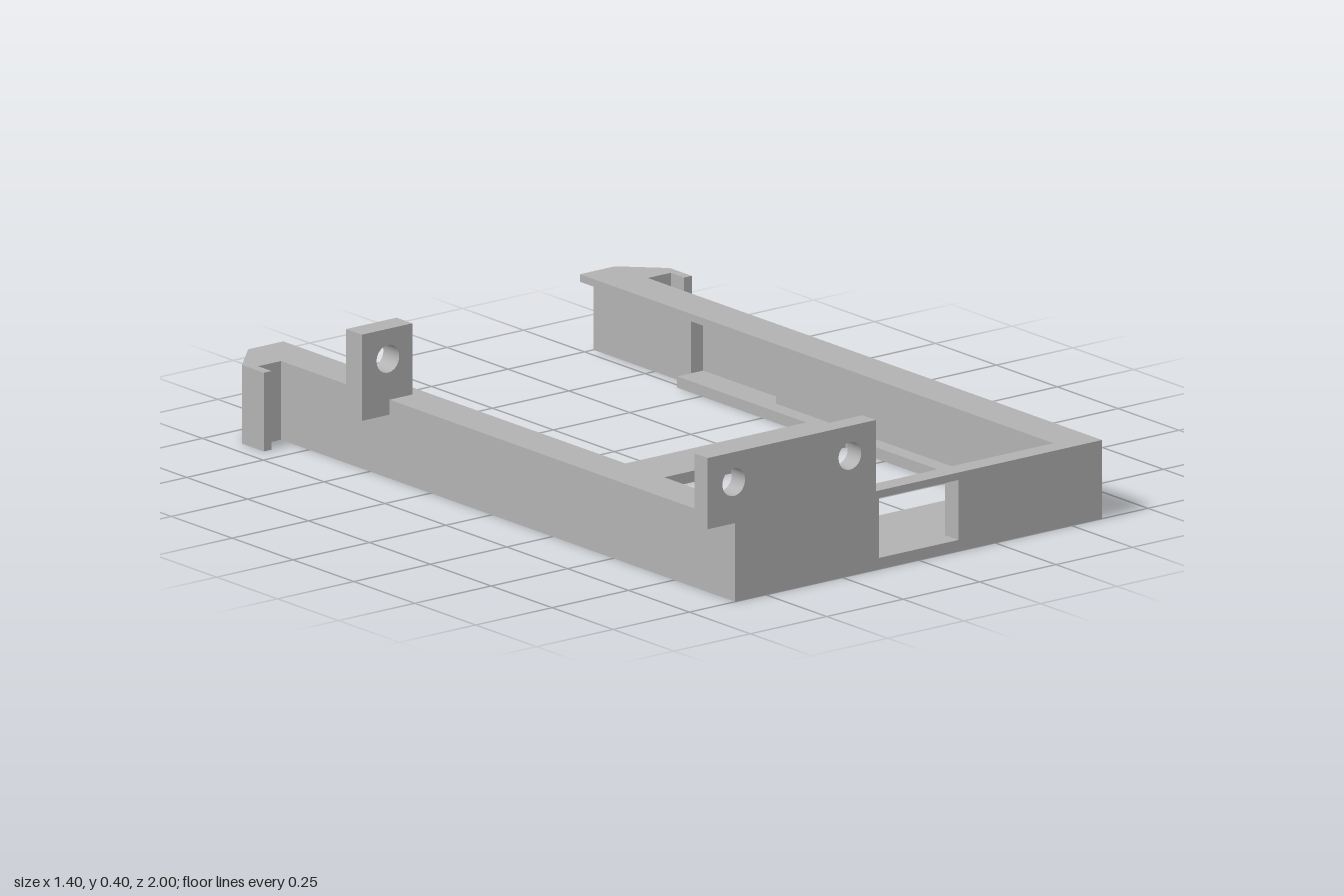
import * as THREE from 'three';

const HEIGHT = 0.21, FLOOR = 0.03, FLANGE = 0.02;
const OUTER = 0.6, FACE = 0.53, RECESS = 0.57, INNER = 0.485;
const FRONT = 0.945; // back face of the front panel

export function createModel() {
  const model = new THREE.Group();
  model.name = 'mountingFrame';
  const grey = new THREE.MeshStandardMaterial({ color: 0xb2b2b2 });
  grey.name = 'grey';

  const add = (name, geometry) => {
    const mesh = new THREE.Mesh(geometry, grey);
    mesh.name = name;
    model.add(mesh);
    return mesh;
  };

  // Box given by its limits on each axis
  const box = (name, x0, x1, y0, y1, z0, z1) => {
    const g = new THREE.BoxGeometry(Math.abs(x1 - x0), y1 - y0, z1 - z0);
    g.translate((x0 + x1) / 2, (y0 + y1) / 2, (z0 + z1) / 2);
    return add(name, g);
  };

  const shapeOf = (points) => new THREE.Shape(points.map(([x, y]) => new THREE.Vector2(x, y)));
  const roundHole = (shape, x, y, r) => {
    const hole = new THREE.Path();
    hole.absarc(x, y, r, 0, Math.PI * 2, true);
    shape.holes.push(hole);
  };
  const extrude = (shape, depth) =>
    new THREE.ExtrudeGeometry(shape, { depth, bevelEnabled: false, curveSegments: 24 });

  // Side rails: a wall with an inner recess and an end hook, plus two flanges
  const rails = [
    { side: 1, label: 'left', recessBack: -0.6, ledgeBack: -0.6 },
    { side: -1, label: 'right', recessBack: -0.85, ledgeBack: -1 },
  ];
  for (const { side, label, recessBack, ledgeBack } of rails) {
    // Plan of the wall as x, z
    const plan = [
      [OUTER, FRONT], [OUTER, -0.865],
      [0.675, -0.865], [0.675, -0.81], [0.7, -0.81], [0.7, -0.9], [OUTER, -1],
      [FACE, -1], [FACE, recessBack], [RECESS, recessBack],
      [RECESS, -0.25], [FACE, -0.25], [FACE, FRONT],
    ];
    const wall = extrude(shapeOf(plan.map(([x, z]) => [side * x, -z])), HEIGHT);
    wall.rotateX(-Math.PI / 2);
    add(label + 'RailWallWithHook', wall);

    // Flange strips close over the recess as well as the thick wall
    box(label + 'TopFlange', side * INNER, side * FACE, HEIGHT - FLANGE, HEIGHT, -1, FRONT);
    box(label + 'BottomLedge', side * INNER, side * FACE, 0, FLOOR, ledgeBack, FRONT);
    box(label + 'RecessTop', side * FACE, side * RECESS, HEIGHT - FLANGE, HEIGHT, recessBack, -0.25);
    box(label + 'RecessFloor', side * FACE, side * RECESS, 0, FLOOR, recessBack, -0.25);
  }

  // Floor bars joining the rails
  box('middleCrossbar', -INNER, INNER, 0, FLOOR, -0.07, 0.09);
  box('frontFloor', -INNER, INNER, 0, FLOOR, 0.7, FRONT);

  // Front panel with raised mounting tab and window
  const panel = shapeOf([
    [-OUTER, 0], [OUTER, 0], [OUTER, HEIGHT], [-0.14, HEIGHT],
    [-0.14, 0.4], [-0.69, 0.4], [-0.69, HEIGHT], [-OUTER, HEIGHT],
  ]);
  panel.holes.push(shapeOf([[-0.13, 0.03], [-0.13, 0.19], [0.13, 0.19], [0.13, 0.03]]));
  roundHole(panel, -0.605, 0.32, 0.037);
  roundHole(panel, -0.225, 0.32, 0.037);
  add('frontPanel', extrude(panel, 1 - FRONT)).position.z = FRONT;

  // Rear mounting lug on the right rail
  const lug = shapeOf([[-0.69, 0.17], [-0.525, 0.17], [-0.525, 0.4], [-0.69, 0.4]]);
  roundHole(lug, -0.605, 0.32, 0.037);
  add('rearLug', extrude(lug, 0.065)).position.z = -0.485;

  return model;
}
